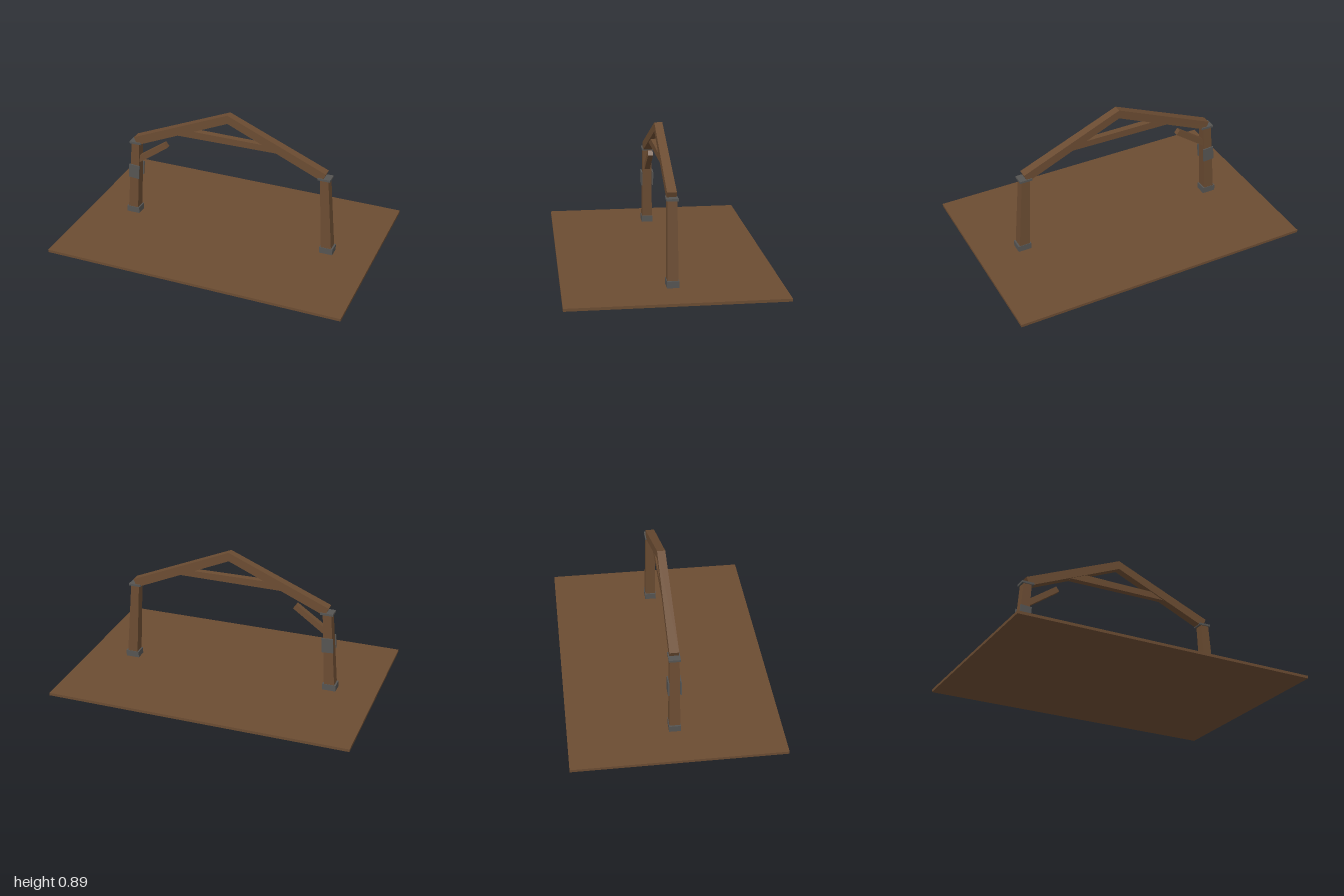
import * as THREE from 'three';

const wood = new THREE.MeshStandardMaterial({ color: 0x6b4c32 });
wood.name = 'wood';
const metal = new THREE.MeshStandardMaterial({ color: 0x555452 });
metal.name = 'dark metal';

export function createModel() {
  const model = new THREE.Group();
  model.name = 'timberFrame';

  function add(name, geometry, material, x = 0, y = 0, z = 0, tilt = 0) {
    const mesh = new THREE.Mesh(geometry, material);
    mesh.name = name;
    mesh.position.set(x, y, z);
    mesh.rotation.z = tilt;
    model.add(mesh);
    return mesh;
  }

  // Tapered timber from point a to b in the frame plane; sizes are [width, depth].
  // With mitre on, the far end is cut vertically at x = 0.
  function timber(name, a, b, sizeA, sizeB, mitre = false) {
    const from = new THREE.Vector2(...a);
    const to = new THREE.Vector2(...b);
    const dir = to.clone().sub(from).normalize();
    const geometry = new THREE.BoxGeometry(1, 1, 1);
    const pos = geometry.attributes.position;
    for (let i = 0; i < pos.count; i++) {
      const end = pos.getX(i) > 0;
      const [w, d] = end ? sizeB : sizeA;
      const side = pos.getY(i) * w;
      const p = (end ? to : from).clone();
      p.x -= dir.y * side;
      p.y += dir.x * side;
      if (mitre && end) p.addScaledVector(dir, -p.x / dir.x);
      pos.setXYZ(i, p.x, p.y, pos.getZ(i) * d);
    }
    geometry.computeVertexNormals();
    return add(name, geometry, wood);
  }

  // Ground slab
  add('groundSlab', new THREE.BoxGeometry(2, 0.018, 1.354), wood, 0, 0.009, 0);

  // Posts, shoes, cap plates and rafters, mirrored on both sides
  for (const s of [-1, 1]) {
    const side = s > 0 ? 'left' : 'right';
    timber(side + 'Post', [s * 0.697, 0.018], [s * 0.661, 0.556], [0.07, 0.07], [0.056, 0.06]);
    add(side + 'PostShoe', new THREE.BoxGeometry(0.09, 0.042, 0.076), metal, s * 0.695, 0.04, 0);
    add(side + 'CapPlate', new THREE.BoxGeometry(0.084, 0.014, 0.074), metal, s * 0.66, 0.56, 0);
    timber(side + 'Rafter', [s * 0.659, 0.573], [0, 0.856], [0.06, 0.06], [0.054, 0.052], true);
  }

  // Collar tie between the rafters
  timber('collarTie', [-0.355, 0.696], [0.355, 0.698], [0.05, 0.044], [0.042, 0.038]);

  // Broken knee brace on the right post
  timber('kneeBrace', [-0.665, 0.418], [-0.444, 0.575], [0.04, 0.038], [0.038, 0.034]);

  // Repair plates on the front and back of the right post
  for (const z of [-0.0385, 0.0385]) {
    add(z > 0 ? 'frontRepairPlate' : 'backRepairPlate',
      new THREE.BoxGeometry(0.076, 0.098, 0.008), metal, -0.674, 0.344, z, -0.067);
  }

  return model;
}
